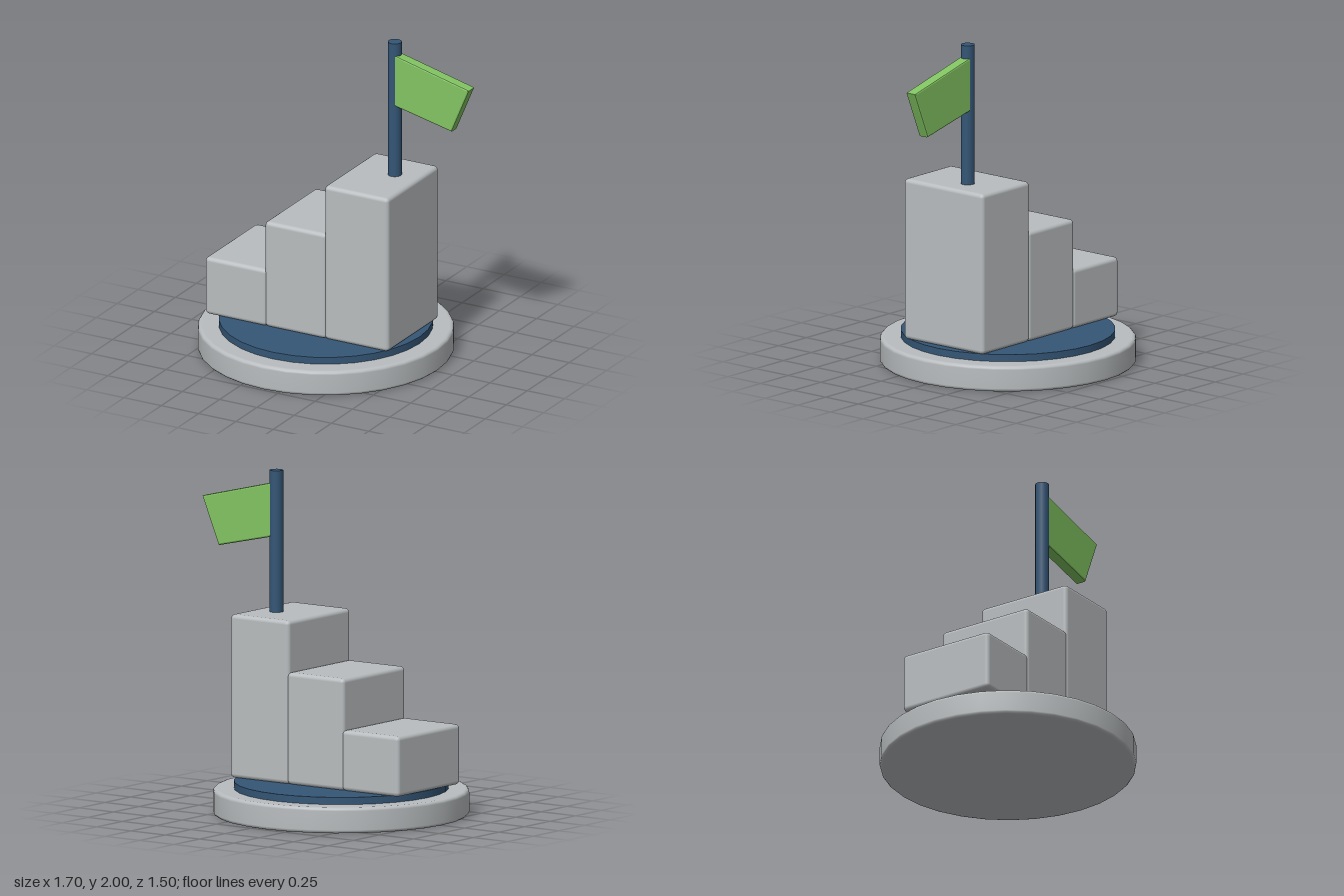
import * as THREE from 'three';
import { RoundedBoxGeometry } from 'three/addons/geometries/RoundedBoxGeometry.js';

const material = (name, color) => {
  const m = new THREE.MeshStandardMaterial({ color });
  m.name = name;
  return m;
};

// Solid disc with rounded rims; closely spaced rings keep the flats flat.
function roundedDisc(radius, bottom, top, r, sides) {
  const pts = [new THREE.Vector2(0, bottom), new THREE.Vector2(radius - r - 0.005, bottom)];
  for (const end of [0, 1]) {
    const cy = end ? top - r : bottom + r;
    for (let i = 0; i <= 3; i++) {
      const a = (end ? 0 : -Math.PI / 2) + (i / 3) * (Math.PI / 2);
      pts.push(new THREE.Vector2(radius - r + Math.cos(a) * r, cy + Math.sin(a) * r));
    }
  }
  pts.push(new THREE.Vector2(radius - r - 0.005, top), new THREE.Vector2(0, top));
  return new THREE.LatheGeometry(pts, sides);
}

export function createModel() {
  const model = new THREE.Group();
  const stone = material('light grey', 0xb9bdbf);
  const blue = material('dark blue', 0x345676);
  const green = material('leaf green', 0x82c462);

  const add = (name, geometry, mat, x = 0, y = 0, z = 0) => {
    const mesh = new THREE.Mesh(geometry, mat);
    mesh.name = name;
    mesh.position.set(x, y, z);
    model.add(mesh);
    return mesh;
  };

  // Round base and its inset disc
  add('base', roundedDisc(0.75, 0, 0.153, 0.02, 32), stone, -0.1);
  add('baseDisc', new THREE.CylinderGeometry(0.628, 0.628, 0.055, 32), blue, -0.1, 0.168, 0);

  // Three rising steps
  const steps = [
    ['lowStep', -0.743, -0.328, 0.553],
    ['middleStep', -0.343, 0.072, 0.857],
    ['highStep', 0.057, 0.487, 1.162],
  ];
  for (const [name, x0, x1, top] of steps) {
    const bottom = 0.195;
    add(name, new RoundedBoxGeometry(x1 - x0, top - bottom, 0.61, 2, 0.025), stone,
      (x0 + x1) / 2, (top + bottom) / 2, 0);
  }

  // Flagpole
  add('pole', new THREE.CylinderGeometry(0.041, 0.041, 0.86, 12), blue, 0.33, 1.57, -0.057);

  // Slanted flag with bevelled edges
  const outline = new THREE.Shape([
    [0.33, 1.61], [0.728, 1.52], [0.847, 1.803], [0.33, 1.93],
  ].map(([x, y]) => new THREE.Vector2(x, y)));
  const bevel = 0.01;
  add('flag', new THREE.ExtrudeGeometry(outline, {
    depth: 0.07 - 2 * bevel, bevelEnabled: true, bevelThickness: bevel,
    bevelSize: bevel, bevelOffset: -bevel, bevelSegments: 2,
  }), green, 0, 0, -0.057 - 0.035 + bevel);

  return model;
}
